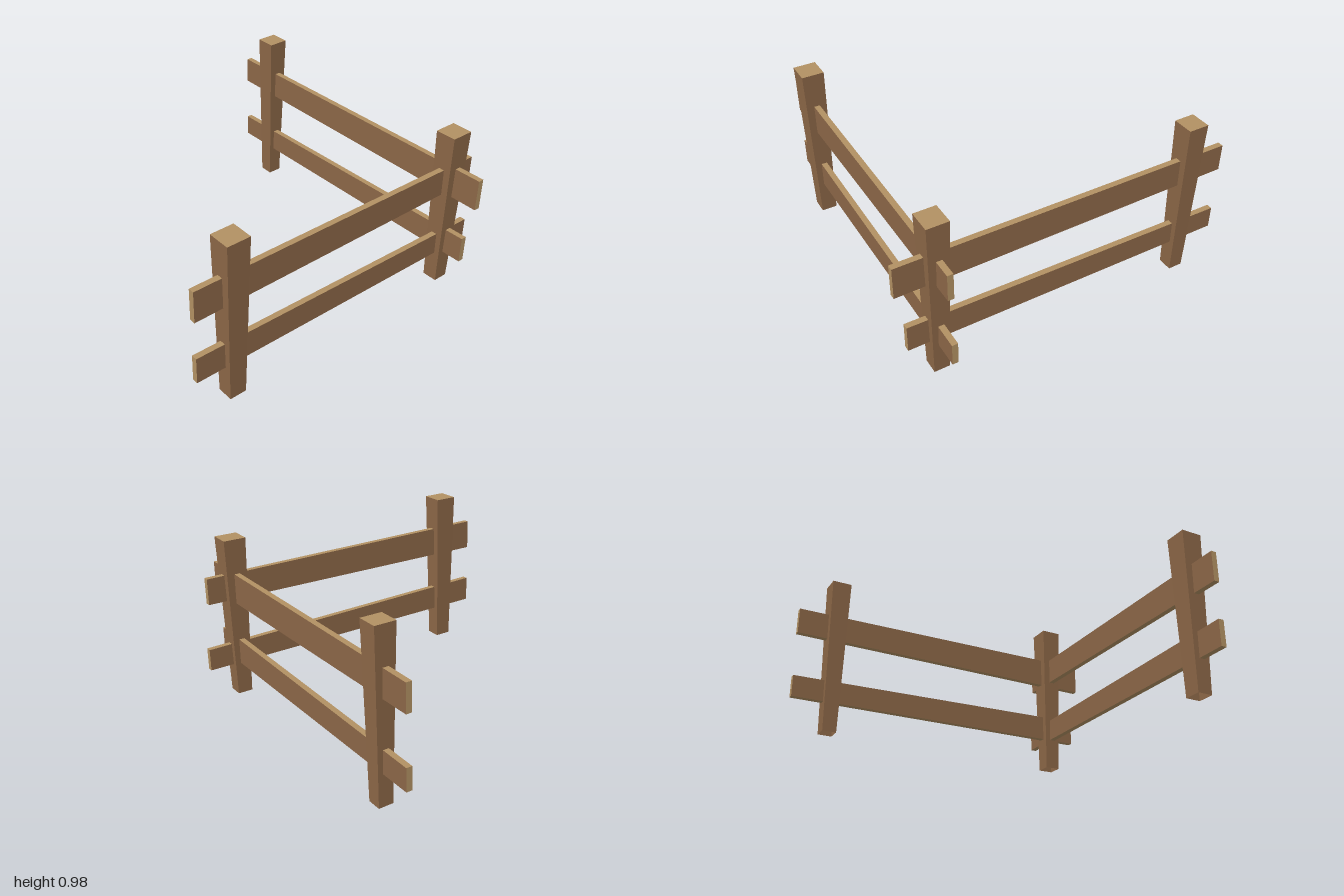
import * as THREE from 'three';

const bark = new THREE.MeshStandardMaterial({ color: 0x8c6747, side: THREE.DoubleSide });
bark.name = 'brownWood';
const cut = new THREE.MeshStandardMaterial({ color: 0xb29163, side: THREE.DoubleSide });
cut.name = 'cutWood';

// Move the vertices of a unit box by a rule, then shade each face flat
function shapedBox(rule) {
  const geometry = new THREE.BoxGeometry(1, 1, 1);
  const p = geometry.attributes.position;
  for (let i = 0; i < p.count; i++) p.setXYZ(i, ...rule(p.getX(i), p.getY(i), p.getZ(i)));
  geometry.computeVertexNormals();
  return geometry;
}

// Square post, wider at the top, with a pale cut top and an open foot
function makePost(name, x, z, topX, topZ, footX, footZ) {
  const height = 0.98;
  const geometry = shapedBox((u, v, w) => {
    const t = v + 0.5;
    return [u * (footX + (topX - footX) * t), t * height, w * (footZ + (topZ - footZ) * t)];
  });
  // Box groups run +x, -x, +y, -y, +z, -z; drop the underside
  geometry.setIndex([...geometry.index.array].filter((_, i) => i < 18 || i >= 24));
  geometry.clearGroups();
  geometry.addGroup(0, 12, 0);
  geometry.addGroup(12, 6, 1);
  geometry.addGroup(18, 12, 0);
  const post = new THREE.Mesh(geometry, [bark, cut]);
  post.name = name;
  post.position.set(x, 0, z);
  return post;
}

// Plank along x; start and end are [x, bottom, top]
function makeRail(name, start, end, thickness) {
  const geometry = shapedBox((u, v, w) => {
    const [x, low, high] = u < 0 ? start : end;
    return [x, v < 0 ? low : high, w * thickness];
  });
  const rail = new THREE.Mesh(geometry, [cut, cut, cut, cut, bark, bark]);
  rail.name = name;
  return rail;
}

export function createModel() {
  const fence = new THREE.Group();
  fence.name = 'cornerFence';

  // Posts
  fence.add(
    makePost('rightPost', -0.76, -0.782, 0.12, 0.122, 0.085, 0.085),
    makePost('cornerPost', 0.777, -0.782, 0.125, 0.135, 0.09, 0.09),
    makePost('frontPost', 0.777, 0.747, 0.13, 0.137, 0.092, 0.1)
  );

  // Rails across the back
  const backRails = new THREE.Group();
  backRails.name = 'backRails';
  backRails.position.z = -0.782;
  backRails.add(
    makeRail('backUpperRail', [-1, 0.6, 0.76], [1, 0.587, 0.773], 0.034),
    makeRail('backLowerRail', [-1, 0.188, 0.32], [0.947, 0.202, 0.36], 0.034)
  );

  // Rails down the left side, turned so local +x points to the front
  const sideRails = new THREE.Group();
  sideRails.name = 'sideRails';
  sideRails.position.x = 0.776;
  sideRails.rotation.y = -Math.PI / 2;
  sideRails.add(
    makeRail('sideUpperRail', [-0.954, 0.602, 0.76], [0.976, 0.588, 0.773], 0.034),
    makeRail('sideLowerRail', [-0.978, 0.188, 0.32], [0.976, 0.202, 0.36], 0.034)
  );

  fence.add(backRails, sideRails);
  return fence;
}
